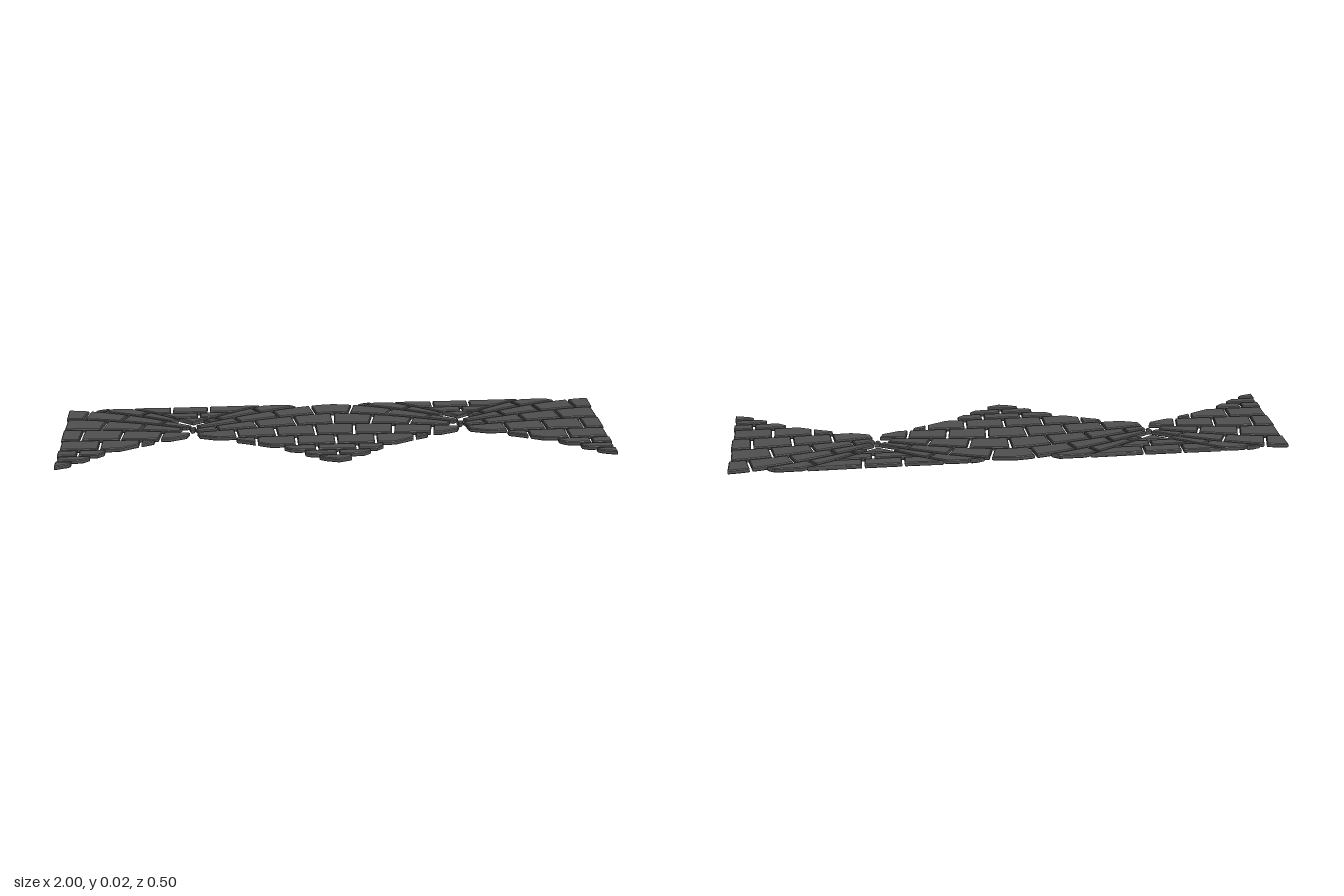
import * as THREE from 'three';

const LEFT = 0.525, RIGHT = 0.475;   // half widths of one fan
const BACK = -0.25, GAP = 0.0045;
const BRICK = 0.145;
// z of each course line at the fan's middle and at the valley beside it
const MID = [-0.335, -0.25, -0.162, -0.065, 0.032, 0.115, 0.165, 0.207, 0.255];
const VALLEY = [-0.1, -0.076, -0.046, -0.015, 0.045, 0.125, 0.168, 0.209, 0.255];
// front outline of a fan: [distance from middle 0..1, z]
const FRONT = [[0, 0.25], [0.1, 0.235], [0.26, 0.18], [0.4, 0.125], [0.6, 0.08], [0.84, 0.035], [1.1, -0.01]];

const material = new THREE.MeshStandardMaterial({ color: 0x505050, flatShading: true });

const reach = (s) => Math.abs(s) / (s < 0 ? LEFT : RIGHT);
const course = (k, s) => MID[k] + (VALLEY[k] - MID[k]) * Math.pow(reach(s), 1.5);

function frontLimit(s) {
  const u = reach(s);
  for (let i = 1; i < FRONT.length; i++) {
    const [u0, z0] = FRONT[i - 1], [u1, z1] = FRONT[i];
    if (u <= u1) return z0 + (z1 - z0) * (u - u0) / (u1 - u0);
  }
  return -0.01;
}

// A flat stone with chamfered rims from an outline of [x, z] corners
function stone(name, outline, bottom = 0.005, top = 0.021) {
  const bevel = 0.003;
  const shape = new THREE.Shape(outline.map(([x, z]) => new THREE.Vector2(x, -z)));
  const geometry = new THREE.ExtrudeGeometry(shape, {
    depth: top - bottom - 2 * bevel, bevelEnabled: true, bevelSegments: 1,
    bevelSize: bevel, bevelThickness: bevel, bevelOffset: -bevel,
  });
  geometry.rotateX(-Math.PI / 2);
  geometry.translate(0, bottom + bevel, 0);
  const mesh = new THREE.Mesh(geometry, material);
  mesh.name = name;
  return mesh;
}

// One curved brick of course k between s = a and s = b, joints square to the course
function fanBrick(k, a, b, cx) {
  const upper = [], lower = [], steps = 6;
  for (let i = 0; i <= steps; i++) {
    const s = a + (b - a) * i / steps;
    const slope = (course(k, s + 0.005) - course(k, s - 0.005)) / 0.01;
    const shift = slope * (course(k + 1, s) - course(k, s)) / 2;
    const place = (q, z) => [cx + q, Math.min(Math.max(z, BACK), frontLimit(q))];
    const p = place(s + shift, course(k, s + shift) + GAP);
    const q = place(s - shift, course(k + 1, s - shift) - GAP);
    if (q[1] - p[1] < 0.012) continue;
    upper.push(p);
    lower.unshift(q);
  }
  if (upper.length < 2 || upper[upper.length - 1][0] - upper[0][0] < 0.018) return null;
  return stone('fanBrick', [...upper, ...lower]);
}

function fan(name, cx, from, to) {
  const group = new THREE.Group();
  group.name = name;
  for (let k = 0; k < MID.length - 1; k++) {
    const offset = k % 2 ? 0.5 : 0;
    for (let i = -5; i < 5; i++) {
      const start = (i + offset) * BRICK, end = start + BRICK;
      const a = Math.max(start + GAP, from), b = Math.min(end - GAP, to);
      if (b - a < 0.025) continue;
      const brick = fanBrick(k, a, b, cx);
      if (brick) group.add(brick);
    }
  }
  return group;
}

// Straight courses filling the triangle behind a valley
function infill(name, cx) {
  const group = new THREE.Group();
  group.name = name;
  const rows = [
    [-0.25, -0.2, [-1, -0.42, 0.28, 1]],
    [-0.192, -0.153, [-1, 0.1, 1]],
    [-0.145, -0.108, [-1, 1]],
  ];
  // signed edge of the triangle at depth z, t from -1 (left rim) to 1 (right rim)
  const edge = (z, side) => {
    const u = Math.pow((z - MID[0]) / (VALLEY[0] - MID[0]), 2 / 3);
    return side * ((side < 0 ? RIGHT : LEFT) * (1 - u) - 0.008 * side * side);
  };
  for (const [z0, z1, cuts] of rows) {
    for (let i = 1; i < cuts.length; i++) {
      const corner = (t, z, inset) => {
        if (Math.abs(t) === 1) return [cx + edge(z, t), z];
        return [cx + t * 0.2 + inset, z];
      };
      group.add(stone('infillBrick', [
        corner(cuts[i - 1], z0, GAP), corner(cuts[i], z0, -GAP),
        corner(cuts[i], z1, -GAP), corner(cuts[i - 1], z1, GAP),
      ]));
    }
  }
  // small wedge set a little deeper where the two fans meet
  group.add(stone('valleyWedge', [
    [cx - 0.012, -0.062], [cx + 0.012, -0.062], [cx + 0.006, -0.042], [cx - 0.006, -0.042],
  ], 0, 0.02));
  return group;
}

export function createModel() {
  const model = new THREE.Group();
  model.name = 'fanPaving';
  model.add(
    fan('rightFan', -1, 0, RIGHT * 0.97),
    fan('middleFan', 0, -LEFT * 0.97, RIGHT * 0.97),
    fan('leftFan', 1, -LEFT * 0.97, 0),
    infill('rightInfill', -LEFT),
    infill('leftInfill', RIGHT),
  );
  return model;
}
